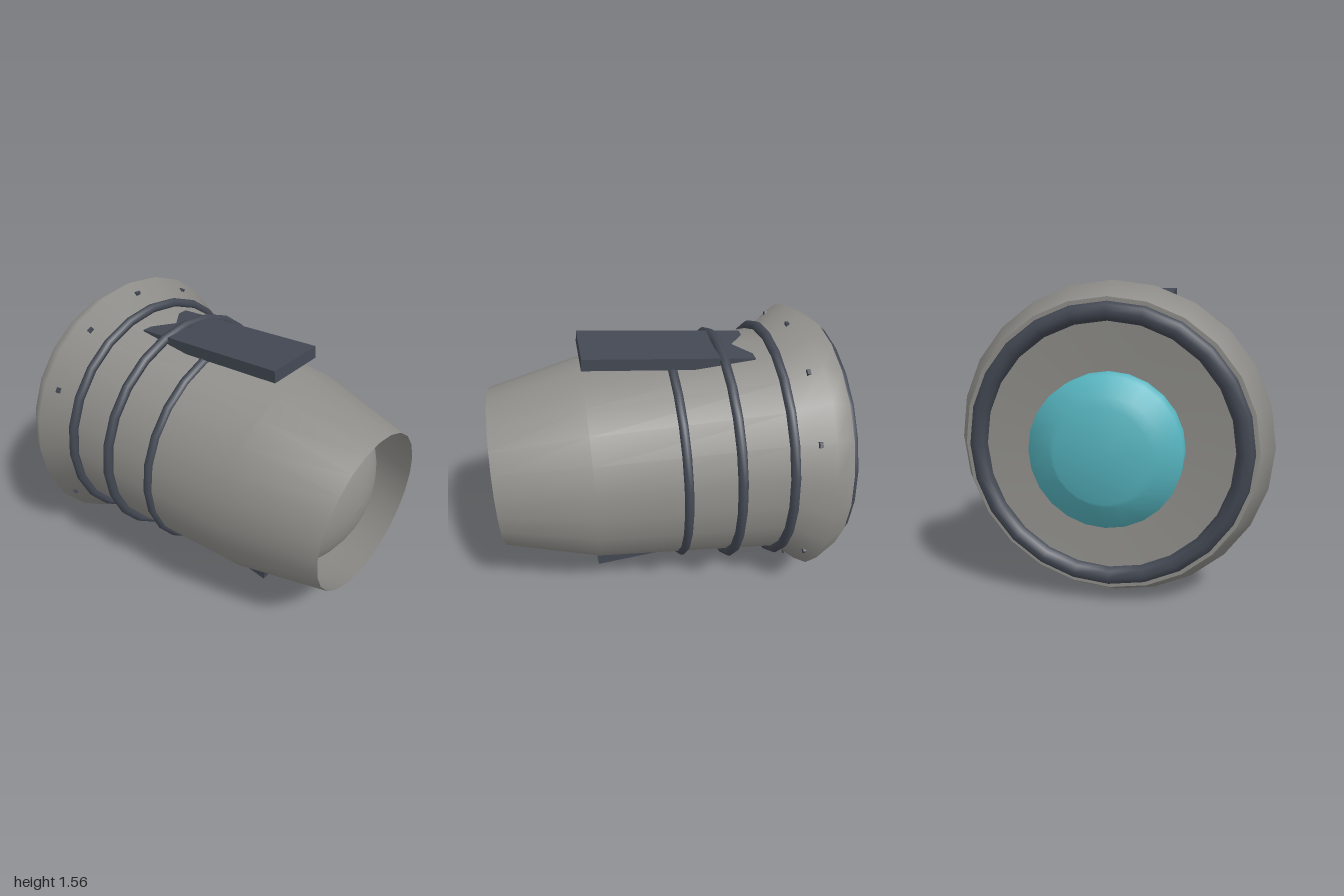
import * as THREE from 'three';

const SIDES = 24;

export function createModel() {
  const model = new THREE.Group();
  model.name = 'thruster';
  const axis = new THREE.Group();
  axis.name = 'engine';
  axis.position.y = 0.782;
  model.add(axis);

  const grey = new THREE.MeshStandardMaterial({ color: 0x8f8e8a, side: THREE.DoubleSide });
  grey.name = 'hull grey';
  const dark = new THREE.MeshStandardMaterial({ color: 0x434853 });
  dark.name = 'dark slate';
  const teal = new THREE.MeshStandardMaterial({ color: 0x56b4bf, side: THREE.DoubleSide });
  teal.name = 'glow teal';

  const add = (name, geometry, material) => {
    const mesh = new THREE.Mesh(geometry, material);
    mesh.name = name;
    axis.add(mesh);
    return mesh;
  };

  // Turned part along x; profile points are [x, radius] with x rising
  const turned = (name, profile, material) => {
    const pts = profile.map(([x, r]) => new THREE.Vector2(r, x));
    return add(name, new THREE.LatheGeometry(pts, SIDES).rotateZ(-Math.PI / 2), material);
  };

  // Hoop around the x axis
  const hoop = (name, x, radius, tube) =>
    add(name, new THREE.TorusGeometry(radius, tube, 8, SIDES).rotateY(Math.PI / 2), dark)
      .position.set(x, 0, 0);

  // Outer shell with flared flange, open at the nozzle end
  turned('shell', [[-0.84, 0.71], [-0.71, 0.782], [-0.56, 0.66], [0.49, 0.58], [1, 0.45]], grey);

  // Slightly dished rear plate
  turned('rearPlate', [[-0.80, 0], [-0.81, 0.34], [-0.84, 0.6], [-0.84, 0.71]]
    .map(([x, r]) => [x, Math.max(r, 0.0001)]), grey);

  // Rounded dome inside the nozzle
  const dome = [];
  for (let i = 0; i <= 10; i++) {
    const a = (1 - i / 10) * 1.13;
    dome.push([0.35 + 0.6 * Math.cos(a), Math.max(0.6 * Math.sin(a), 0.0001)]);
  }
  turned('nozzleDome', dome, grey);

  // Stepped rear hub
  turned('rearHub', [[-1, 0.0001], [-1, 0.225], [-0.93, 0.265], [-0.93, 0.365], [-0.81, 0.365]], teal);

  // Rear rim and the three hoops
  hoop('rearRim', -0.842, 0.645, 0.045);
  hoop('hoopRear', -0.535, 0.674, 0.027);
  hoop('hoopMiddle', -0.26, 0.657, 0.027);
  hoop('hoopFront', 0.015, 0.616, 0.025);

  // Angled slabs above and below
  for (const s of [1, -1]) {
    const slab = add(s > 0 ? 'topSlab' : 'bottomSlab', new THREE.BoxGeometry(0.92, 0.065, 0.34), dark);
    slab.position.set(0.032, s * 0.645, 0);
    slab.rotation.z = s * 0.092;
  }

  // Tiny studs on the flange, none at the two sides
  for (let i = 0; i < 12; i++) {
    if (i % 6 === 3) continue;
    const a = (i * Math.PI) / 6;
    const stud = add('stud', new THREE.BoxGeometry(0.018, 0.02, 0.03), dark);
    stud.position.set(-0.65, 0.733 * Math.cos(a), 0.733 * Math.sin(a));
    stud.rotation.x = a;
  }

  return model;
}
